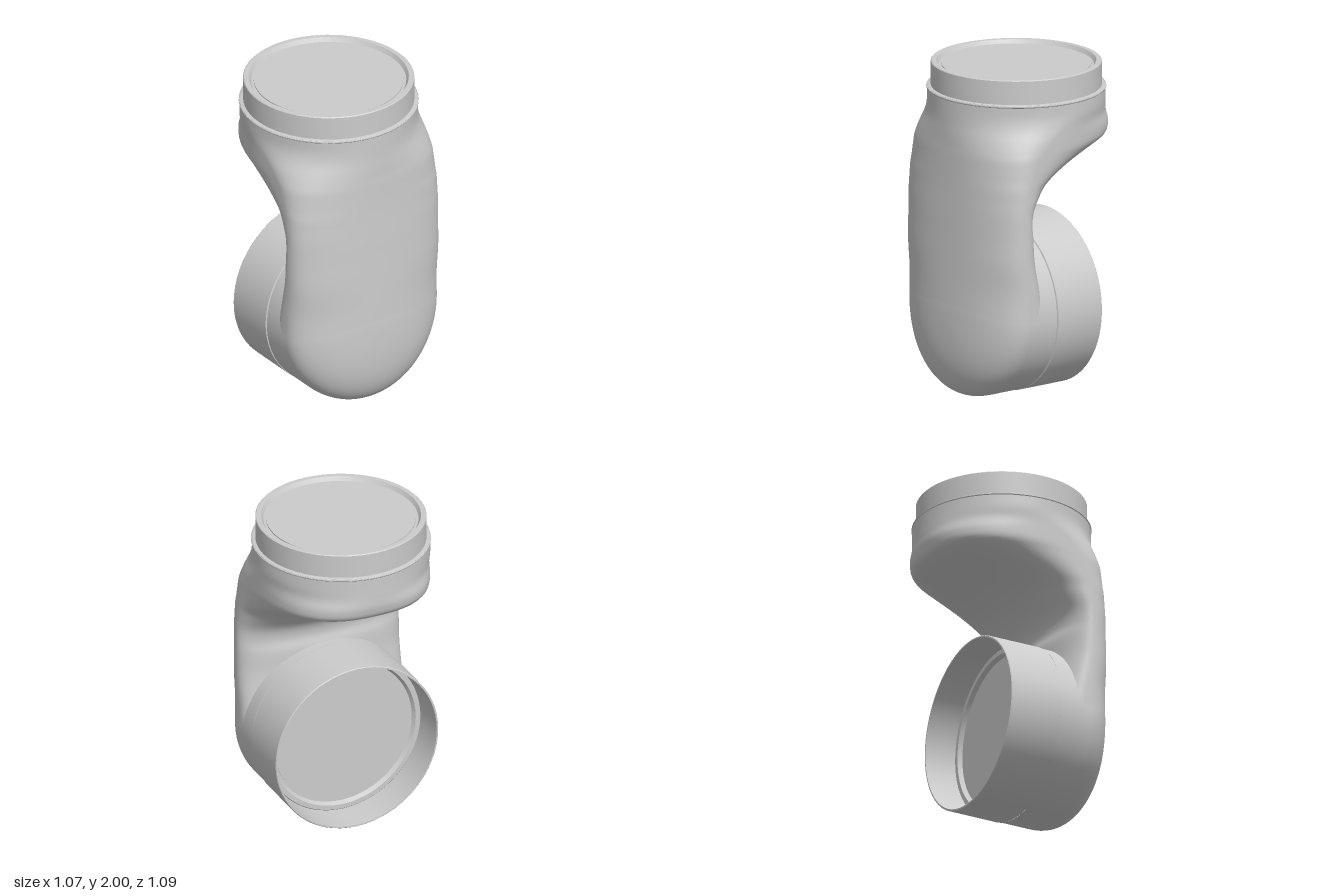
import * as THREE from 'three';
import { toCreasedNormals } from 'three/addons/utils/BufferGeometryUtils.js';

const R = 0.53;          // body half width and pod radius
const POD_Y = 0.535;     // height of the lower port axis
const TOP_Z = -0.015;    // z of the upper port axis
const COLS = 96;

const pow = (v, n) => Math.sign(v) * Math.pow(Math.abs(v), 2 / n);

// Smooth surface from closed loops; fn(row 0..1, angle) gives a point
function loft(rows, fn) {
  const pos = [], idx = [];
  for (let i = 0; i <= rows; i++) {
    for (let j = 0; j < COLS; j++) {
      pos.push(...fn(i / rows, (j / COLS) * Math.PI * 2));
      if (i === rows) continue;
      const a = i * COLS + j, b = i * COLS + ((j + 1) % COLS);
      idx.push(a, a + COLS, b, b, a + COLS, b + COLS);
    }
  }
  const g = new THREE.BufferGeometry();
  g.setAttribute('position', new THREE.Float32BufferAttribute(pos, 3));
  g.setIndex(idx);
  g.computeVertexNormals();
  return g;
}

// Turned part with sharp edges kept
function turned(points) {
  const g = new THREE.LatheGeometry(points.map(p => new THREE.Vector2(...p)), 64);
  return toCreasedNormals(g, 0.6);
}

// Horizontal sections of the neck: y, front z, widest z, back z, front power, back power
const SECTIONS = [
  [0.535, 0.545, 0.30, 0.11, 2.1, 4.0],
  [0.70, 0.541, 0.30, 0.13, 2.1, 3.0],
  [0.90, 0.535, 0.32, 0.15, 2.2, 2.4],
  [1.05, 0.530, 0.32, 0.155, 2.2, 2.2],
  [1.12, 0.528, 0.32, 0.17, 2.2, 2.2],
  [1.20, 0.525, 0.32, 0.15, 2.2, 2.2],
  [1.28, 0.522, 0.31, 0.08, 2.2, 2.2],
  [1.35, 0.520, 0.30, -0.01, 2.2, 2.2],
  [1.40, 0.519, 0.28, -0.10, 2.2, 2.3],
  [1.46, 0.518, 0.26, -0.25, 2.2, 2.4],
  [1.53, 0.517, 0.23, -0.45, 2.2, 2.5],
  [1.56, 0.516, 0.20, -0.51, 2.2, 2.6],
  [1.62, 0.516, 0.14, -0.54, 2.1, 2.5],
  [1.70, 0.515, 0.04, -0.545, 2.0, 2.1],
  [1.76, 0.515, TOP_Z, -0.545, 2.0, 2.0],
  [1.85, 0.515, TOP_Z, -0.545, 2.0, 2.0],
];

function neckGeometry() {
  const spline = new THREE.CubicInterpolant(
    SECTIONS.map(s => s[0]), SECTIONS.flatMap(s => s.slice(1)), 5, new Float32Array(5));
  return loft(90, (v, t) => {
    const y = THREE.MathUtils.lerp(0.535, 1.85, v);
    const [front, mid, back, nf, nb] = spline.evaluate(y);
    const s = Math.sin(t), n = s >= 0 ? nf : nb;
    const depth = s >= 0 ? front - mid : mid - back;
    return [R * pow(Math.cos(t), n), y, mid + depth * pow(s, n)];
  });
}

// Round pod with a domed front, squarer towards the bottom
function podGeometry() {
  return loft(33, (v, t) => {
    const down = Math.max(0, Math.sin(t));
    const n = 2.1 + 0.8 * down * down;
    const a = Math.max(0, (v * 33 - 1) / 32) * Math.PI / 2;
    const r = R * pow(Math.max(0, Math.cos(a)), n);
    const z = v === 0 ? 0.1 : 0.3 + 0.245 * pow(Math.sin(a), n);
    return [r * Math.cos(t), POD_Y - r * Math.sin(t), z];
  });
}

export function createModel() {
  const group = new THREE.Group();
  const material = new THREE.MeshStandardMaterial({ color: 0xcccccc, side: THREE.DoubleSide });
  const add = (name, geometry, parent = group) => {
    const mesh = new THREE.Mesh(geometry, material);
    mesh.name = name;
    parent.add(mesh);
    return mesh;
  };

  // Elbow body
  add('neck', neckGeometry());
  add('pod', podGeometry());

  // Ports share a collar with a recessed end disc
  const collar = turned([
    [0.508, 0], [0.508, 0.145], [0.503, 0.15], [0.475, 0.15],
    [0.46, 0.125], [0.445, 0.125], [0.445, 0.132], [0, 0.132],
  ]);

  const upperPort = new THREE.Group();
  upperPort.name = 'upperPort';
  upperPort.position.set(0, 1.85, TOP_Z);
  group.add(upperPort);
  add('upperCollar', collar, upperPort);
  add('upperLip', turned([
    [0.53, -0.015], [0.534, -0.01], [0.534, -0.004], [0.525, 0.002], [0.505, 0.002],
  ]), upperPort);

  const lowerPort = new THREE.Group();
  lowerPort.name = 'lowerPort';
  lowerPort.position.set(0, POD_Y, 0.1);
  lowerPort.rotation.x = -Math.PI / 2;
  group.add(lowerPort);
  add('lowerCollar', collar, lowerPort);

  // Open sleeve around the lower collar
  add('sleeve', turned([
    [0.505, -0.004], [0.525, -0.004], [0.525, 0.003], [0.534, 0.008], [0.534, 0.336],
    [0.53, 0.341], [0.522, 0.341], [0.52, 0.15], [0.518, 0.02], [0.505, 0.02],
  ]), lowerPort);

  return group;
}
